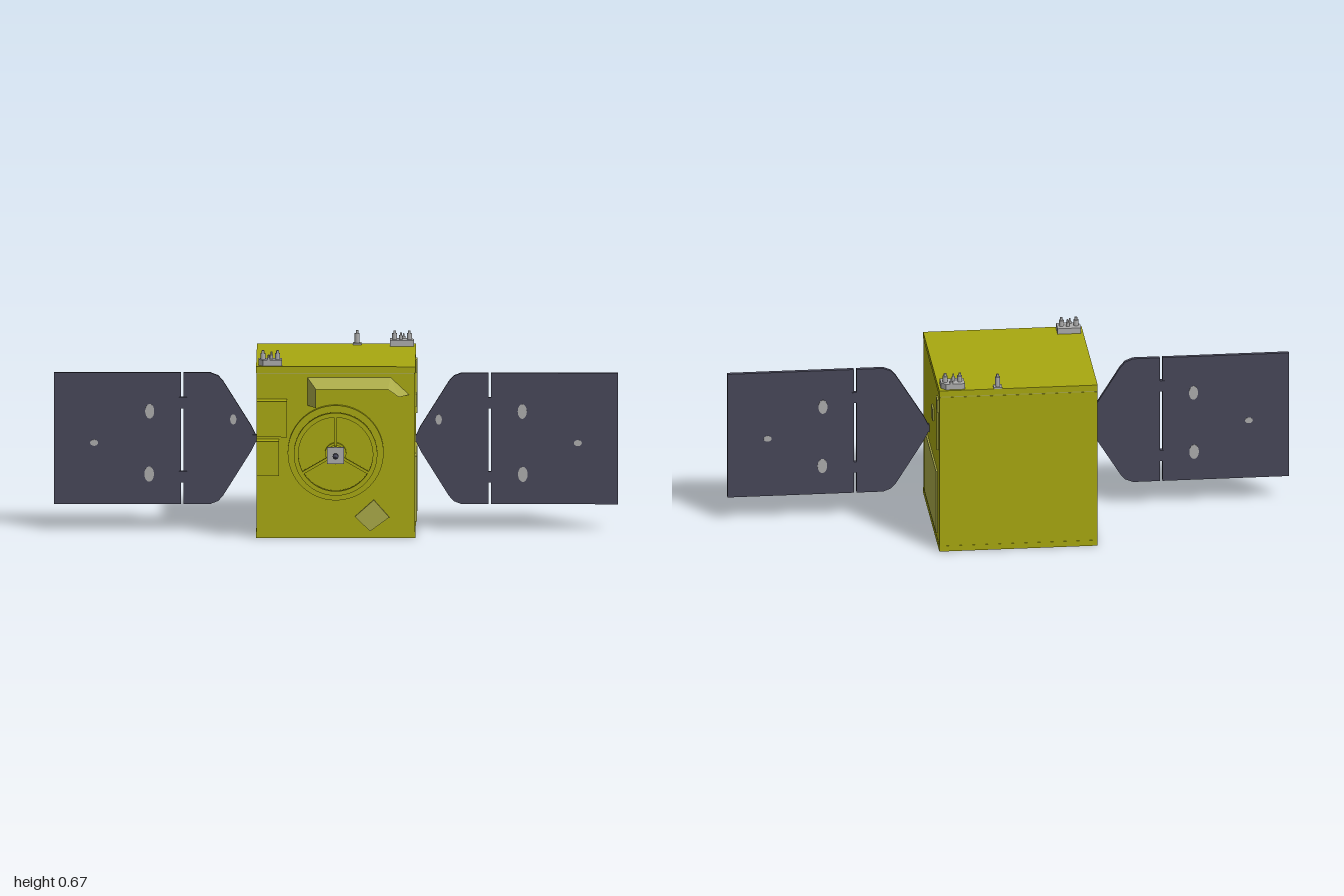
import * as THREE from 'three';

const material = (name, color) => {
  const m = new THREE.MeshStandardMaterial({ color });
  m.name = name;
  return m;
};

export function createModel() {
  const olive = material('olive foil', 0xa8a810);
  const pale = material('pale foil', 0xaaaa48);
  const paleSheet = material('pale sheet', 0xaaaa48);
  paleSheet.side = THREE.DoubleSide;
  const dark = material('dark panel', 0x474759);
  const grey = material('grey metal', 0xadadad);
  const model = new THREE.Group();
  model.name = 'satellite';

  const add = (name, geometry, mat, parent = model) => {
    const mesh = new THREE.Mesh(geometry, mat);
    mesh.name = name;
    parent.add(mesh);
    return mesh;
  };
  // Box given by its minimum and maximum corners
  const box = (name, a, b, mat, parent) => {
    const g = new THREE.BoxGeometry(b[0] - a[0], b[1] - a[1], b[2] - a[2]);
    g.translate((a[0] + b[0]) / 2, (a[1] + b[1]) / 2, (a[2] + b[2]) / 2);
    return add(name, g, mat, parent);
  };
  // Outline in xy extruded from z0 to z1
  const slab = (name, shape, z0, z1, mat, parent) => {
    const g = new THREE.ExtrudeGeometry(shape, { depth: z1 - z0, bevelEnabled: false, curveSegments: 32 });
    g.translate(0, 0, z0);
    return add(name, g, mat, parent);
  };
  const polygon = (pts) => new THREE.Shape(pts.map(([x, y]) => new THREE.Vector2(x, y)));
  // Cylinder or cone along z
  const rod = (name, r0, r1, z0, z1, mat, parent) => {
    const g = new THREE.CylinderGeometry(r1, r0, z1 - z0, 24);
    g.rotateX(Math.PI / 2).translate(0, 0, (z0 + z1) / 2);
    return add(name, g, mat, parent);
  };

  // Cube body with end plates and a seam under the lid
  const W = 0.282;
  box('bottomPlate', [-W, 0, -0.345], [W, 0.021, 0.22], olive);
  box('body', [-W + 0.001, 0.021, -0.344], [W - 0.001, 0.587, 0.219], olive);
  box('lidSeam', [-W + 0.002, 0.587, -0.343], [W - 0.002, 0.591, 0.218], pale);
  box('topPlate', [-W, 0.591, -0.345], [W, 0.613, 0.22], olive);

  // Plates on the left side
  box('radiatorPlate', [W - 0.002, 0.044, -0.274], [W + 0.005, 0.278, 0.119], pale);
  box('squarePlate', [W - 0.002, 0.422, -0.154], [W + 0.005, 0.468, -0.107], pale);
  box('sensorHead', [W - 0.002, 0.52, -0.32], [W + 0.005, 0.567, -0.274], pale);
  box('sensorStem', [W - 0.002, 0.372, -0.305], [W + 0.005, 0.52, -0.289], pale);

  // Equipment boxes and tilted plate on the front
  box('upperEquipmentBox', [-0.28, 0.369, 0.218], [-0.172, 0.497, 0.28], olive);
  box('lowerEquipmentBox', [-0.28, 0.231, 0.218], [-0.2, 0.353, 0.28], olive);
  slab('tiltedPlate', polygon([[0.068, 0.077], [0.122, 0.025], [0.19, 0.075], [0.135, 0.137]]),
    0.218, 0.23, pale);

  // Sloping shade: an outer outline on the body joined to an inner one in front
  const outer = [[-0.1, 0.474], [-0.1, 0.574], [0.195, 0.574], [0.26, 0.513]];
  const inner = [[-0.07, 0.474], [-0.07, 0.541], [0.185, 0.541], [0.225, 0.513]];
  const verts = [];
  for (let i = 0; i < 3; i++) {
    const a = [...outer[i], 0.22], b = [...outer[i + 1], 0.22];
    const c = [...inner[i + 1], 0.283], d = [...inner[i], 0.283];
    verts.push(...a, ...d, ...c, ...a, ...c, ...b);
  }
  const shade = new THREE.BufferGeometry();
  shade.setAttribute('position', new THREE.Float32BufferAttribute(verts, 3));
  shade.computeVertexNormals();
  add('frontShade', shade, paleSheet);

  // Round antenna: base disc, spoked ring, hub and feed
  const dish = new THREE.Group();
  dish.name = 'antenna';
  dish.position.y = 0.307;
  model.add(dish);
  const base = new THREE.CylinderGeometry(0.17, 0.17, 0.022, 64);
  base.rotateX(Math.PI / 2).translate(0, 0, 0.229);
  add('antennaBase', base, olive, dish);
  const ring = new THREE.Shape().absarc(0, 0, 0.148, 0, Math.PI * 2);
  ring.holes.push(new THREE.Path().absarc(0, 0, 0.132, 0, Math.PI * 2, true));
  slab('antennaRing', ring, 0.257, 0.276, olive, dish);
  for (let i = 0; i < 3; i++) {
    box('spoke', [-0.005, 0.02, 0.259], [0.005, 0.136, 0.272], olive, dish)
      .rotation.z = i * Math.PI * 2 / 3;
  }
  rod('hubBase', 0.038, 0.038, 0.238, 0.257, olive, dish);
  rod('hub', 0.03, 0.03, 0.257, 0.29, olive, dish);
  rod('feedStem', 0.004, 0.004, 0.29, 0.318, olive, dish);
  box('feedPlate', [-0.03, -0.03, 0.304], [0.03, 0.03, 0.306], grey, dish);
  rod('feedConeRear', 0.01, 0.001, 0.316, 0.332, dark, dish).rotation.y = 0;
  rod('feedConeFront', 0.01, 0.002, 0.33, 0.346, dark, dish);

  // Solar wings, mirrored
  const Y = 0.328, H = 0.235;
  const half = [[0.284, 0.012], [0.3, 0.045], [0.4, 0.205], [0.417, 0.224], [0.445, H], [0.54, H]];
  const root = polygon([
    ...half.map(([x, y]) => [x, Y - y]),
    ...half.slice().reverse().map(([x, y]) => [x, Y + y]),
  ]);
  const fittings = [[0.66, 0.425, 0.016, 0.026], [0.662, 0.2, 0.017, 0.027],
    [0.857, 0.312, 0.014, 0.011], [0.364, 0.396, 0.011, 0.018]];
  for (const side of [1, -1]) {
    const wing = new THREE.Group();
    wing.name = side > 0 ? 'leftWing' : 'rightWing';
    model.add(wing);
    const flip = (pts) => polygon(pts.map(([x, y]) => [x * side, y]));
    slab('wingRoot', flip(root.getPoints().map((p) => [p.x, p.y])), 0.013, 0.028, dark, wing);
    slab('wingPanel', flip([[0.55, Y - H], [1, Y - H], [1, Y + H], [0.55, Y + H]]),
      0.013, 0.028, dark, wing);
    for (const y of [0.19, 0.455]) {
      slab('wingHinge', flip([[0.528, y - 0.02], [0.556, y - 0.02], [0.556, y + 0.02], [0.528, y + 0.02]]),
        0.012, 0.029, dark, wing);
    }
    slab('wingPivot', flip([[0.278, Y - 0.013], [0.295, Y - 0.013], [0.295, Y + 0.013], [0.278, Y + 0.013]]),
      0.011, 0.029, dark, wing);
    fittings.forEach(([x, y, rx, ry], i) => {
      const oval = new THREE.Shape().absellipse(x * side, y, rx, ry, 0, Math.PI * 2);
      slab('wingFitting', oval, i === 3 ? 0.02 : 0.0115, 0.0295, grey, wing);
    });
  }

  // Instrument clusters on the lid, turned half round from each other
  const peg = (x, z, r, top, parent) => {
    const low = new THREE.CylinderGeometry(r, r, top - 0.01, 16);
    low.translate(x, (top - 0.01) / 2, z);
    add('peg', low, grey, parent);
    const cap = new THREE.CylinderGeometry(r * 0.55, r * 0.55, 0.01, 16);
    cap.translate(x, top - 0.005, z);
    add('pegTip', cap, grey, parent);
  };
  for (const [x, z, turn] of [[-0.232, 0.177, 0], [0.232, -0.308, Math.PI]]) {
    const cluster = new THREE.Group();
    cluster.name = 'instrumentCluster';
    cluster.position.set(x, 0.613, z);
    cluster.rotation.y = turn;
    model.add(cluster);
    const foot = new THREE.ExtrudeGeometry(
      polygon([[-0.042, -0.01], [-0.025, -0.028], [0.042, -0.028], [0.042, 0.028], [-0.042, 0.028]]),
      { depth: 0.021, bevelEnabled: false });
    foot.rotateX(-Math.PI / 2);
    add('clusterBase', foot, grey, cluster);
    peg(-0.026, 0.001, 0.009, 0.052, cluster);
    peg(0.026, 0.001, 0.009, 0.052, cluster);
    peg(0.004, -0.006, 0.006, 0.046, cluster);
    peg(-0.006, 0.021, 0.006, 0.039, cluster);
  }
  box('beaconBase', [0.058, 0.612, -0.345], [0.088, 0.618, -0.314], grey);
  const beacon = new THREE.Group();
  beacon.name = 'beacon';
  beacon.position.set(0.073, 0.613, -0.329);
  model.add(beacon);
  peg(0, 0, 0.009, 0.05, beacon);

  return model;
}
